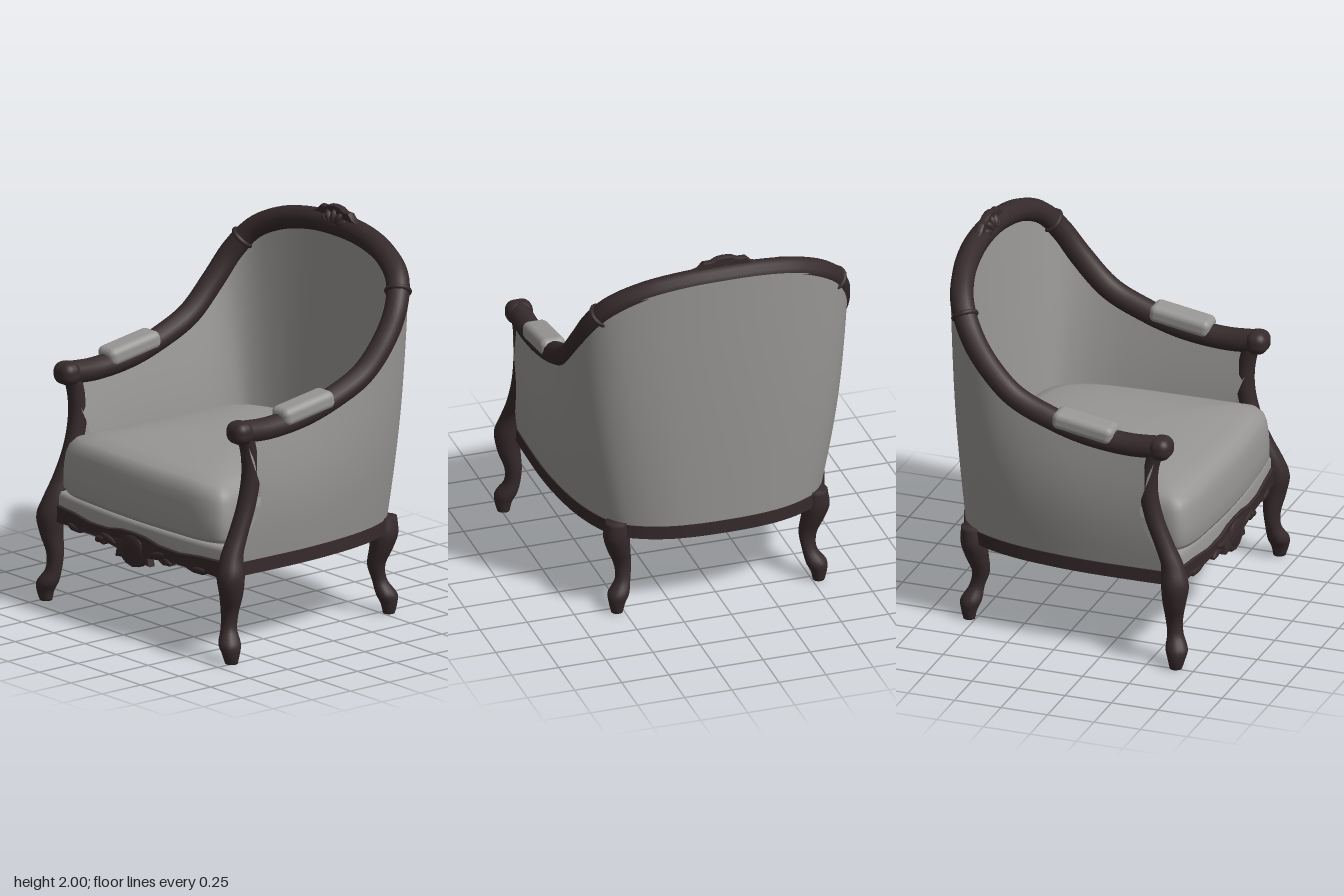
import * as THREE from 'three';
import { toCreasedNormals } from 'three/addons/utils/BufferGeometryUtils.js';
import { RoundedBoxGeometry } from 'three/addons/geometries/RoundedBoxGeometry.js';

const V = (x, y, z) => new THREE.Vector3(x, y, z);

// Surface through rows of points; wrap closes each row into a ring
function loft(rows, wrap = false) {
  const n = rows[0].length, idx = [];
  for (let r = 0; r < rows.length - 1; r++) {
    for (let c = 0; c < (wrap ? n : n - 1); c++) {
      const d = (c + 1) % n, a = r * n, b = a + n;
      idx.push(a + c, b + c, a + d, a + d, b + c, b + d);
    }
  }
  const g = new THREE.BufferGeometry().setFromPoints(rows.flat());
  g.setIndex(idx);
  g.computeVertexNormals();
  return g;
}

// Left half of a path (front to middle of the back), mirrored to the right
function mirroredCurve(half) {
  const left = half.map(p => V(...p));
  const right = half.slice(0, -1).reverse().map(p => V(-p[0], p[1], p[2]));
  return new THREE.CatmullRomCurve3([...left, ...right]);
}

// Point on a curve pushed outwards in plan
function offset(curve, t, d, dy = 0) {
  const p = curve.getPoint(t), k = curve.getTangent(t);
  const l = Math.hypot(k.x, k.z) || 1;
  return V(p.x - k.z / l * d, p.y + dy, p.z + k.x / l * d);
}

// Carved leg from [x, y, z, radius] stations
function legGeometry(stations, steps) {
  const mid = new THREE.CatmullRomCurve3(stations.map(s => V(s[0], s[1], s[2])));
  const rad = new THREE.CatmullRomCurve3(stations.map((s, i) => V(s[3], i, 0)));
  const ring = (t, k) => Array.from({ length: 14 }, (_, j) => {
    const a = j / 14 * Math.PI * 2, p = mid.getPoint(t), r = rad.getPoint(t).x * k;
    return V(p.x + Math.cos(a) * r, Math.max(0, p.y), p.z + Math.sin(a) * r);
  });
  const rows = [ring(0, 0.001)];
  for (let i = 0; i <= steps; i++) rows.push(ring(i / steps, 1));
  rows.push(ring(1, 0.001));
  return loft(rows, true);
}

// Symmetric flat outline from its right half
function mirroredShape(half) {
  const pts = half.map(p => new THREE.Vector2(...p));
  const back = half.slice(1, -1).reverse().map(p => new THREE.Vector2(-p[0], p[1]));
  return new THREE.Shape([...pts, ...back]);
}

export function createModel() {
  const group = new THREE.Group();
  const wood = new THREE.MeshStandardMaterial({ color: 0x362a2c, side: THREE.DoubleSide });
  wood.name = 'dark wood';
  const cloth = new THREE.MeshStandardMaterial({ color: 0x999795, side: THREE.DoubleSide });
  cloth.name = 'grey cloth';
  const add = (name, geo, mat) => {
    const m = new THREE.Mesh(geo, mat);
    m.name = name;
    group.add(m);
    return m;
  };
  const bead = (name, pos, size, rz = 0) => {
    const m = add(name, new THREE.SphereGeometry(1, 16, 10), wood);
    m.position.set(...pos);
    m.scale.set(...size);
    m.rotation.z = rz;
  };

  // Top rail and base outline share the same stations
  const rail = mirroredCurve([
    [0.69, 1.18, 0.55], [0.69, 1.17, 0.38], [0.69, 1.195, 0.15], [0.692, 1.255, -0.05],
    [0.692, 1.345, -0.24], [0.683, 1.505, -0.395], [0.65, 1.645, -0.49], [0.57, 1.76, -0.56],
    [0.41, 1.84, -0.61], [0.21, 1.88, -0.64], [0, 1.89, -0.65]]);
  const base = mirroredCurve([
    [0.68, 0.5, 0.6], [0.685, 0.5, 0.4], [0.685, 0.5, 0.15], [0.67, 0.5, -0.05],
    [0.64, 0.5, -0.24], [0.59, 0.5, -0.4], [0.52, 0.5, -0.52], [0.42, 0.5, -0.585],
    [0.29, 0.5, -0.63], [0.15, 0.5, -0.65], [0, 0.5, -0.655]]);
  const N = 96, ts = Array.from({ length: N + 1 }, (_, i) => i / N);
  const behind = t => Math.sin(Math.PI * t) ** 4; // 0 at the arms, 1 at the back

  add('armAndBackRail', new THREE.TubeGeometry(rail, 128, 0.06, 12), wood);
  const section = [[0.018, 0], [0.018, -0.07], [-0.035, -0.07], [-0.035, 0]];
  add('baseRail', toCreasedNormals(
    loft(ts.map(t => section.map(([d, y]) => offset(base, t, d, y))), true), 0.6), wood);

  // Upholstered shell, outer and inner skins, front edges tucked behind the posts
  const skin = (dTop, yTop, dLow, bulge) => loft(Array.from({ length: 17 }, (_, i) => {
    const v = i / 16, s = Math.sin(Math.PI * v);
    return ts.map(t => {
      const low = offset(base, t, dLow(t) + bulge(t) * s);
      const p = low.lerp(offset(rail, t, dTop(t) + bulge(t) * s, yTop(t)), v);
      p.z -= (0.02 + 0.09 * s * s) * Math.max(0, (p.z - 0.2) / 0.35);
      return p;
    });
  }));
  add('outerUpholstery', skin(t => 0.035 + 0.03 * behind(t), t => -0.035 + 0.045 * behind(t),
    () => 0.012, t => 0.028 - 0.02 * behind(t)), cloth);
  add('innerUpholstery', skin(() => -0.015, () => -0.04,
    t => -0.075 - 0.06 * behind(t), t => -0.02 + 0.02 * behind(t)), cloth);

  // Seat cushion: hollow, rolled over at the front, tucked in at the sides and back
  const half = [[0, 0.705], [0.3, 0.695], [0.55, 0.668], [0.632, 0.62], [0.632, 0.5], [0.622, 0.2],
    [0.608, -0.1], [0.578, -0.3], [0.5, -0.45], [0.33, -0.525], [0, -0.54]];
  const outline = new THREE.CatmullRomCurve3([
    ...half.map(p => V(p[0], 0, p[1])),
    ...half.slice(1, -1).reverse().map(p => V(-p[0], 0, p[1]))], true);
  const plan = outline.getPoints(80).slice(0, 80);
  const layers = [[0.93, 0.585], [0.975, 0.592], [1, 0.62], [1, 0.7], [0.995, 0.77],
    [0.985, 0.82], [0.965, 0.862], [0.92, 0.893], [0.8, 0.917], [0.55, 0.932], [0.3, 0.939], [0.001, 0.94]];
  add('seatCushion', loft(layers.map((_, i) => plan.map(p => {
    const [s, y] = layers[p.z > 0.5 ? i : Math.max(i, 4)];
    const x = p.x * s, droop = y > 0.75 ? 0.025 * (x / 0.63) ** 4 : 0;
    return V(x, y - droop, 0.05 + (p.z - 0.05) * s);
  })), true), cloth);

  // Bowed front of the seat
  const bow = x => 0.64 + 0.045 * (1 - (x / 0.65) ** 2);
  const xs = Array.from({ length: 35 }, (_, i) => -0.68 + i * 0.04);
  add('seatFrontBand', loft([[0.46, 0], [0.56, 0], [0.582, -0.015], [0.585, -0.07]].map(([y, dz]) =>
    xs.map(x => V(x, y, bow(x) + dz)))), cloth);
  const apron = new THREE.ExtrudeGeometry(mirroredShape([
    [0, 0.35], [0.05, 0.36], [0.085, 0.385], [0.13, 0.378], [0.12, 0.42], [0.2, 0.43], [0.24, 0.412],
    [0.29, 0.418], [0.3, 0.44], [0.4, 0.437], [0.45, 0.422], [0.52, 0.42], [0.55, 0.435], [0.66, 0.425],
    [0.66, 0.51], [0.5, 0.507], [0.35, 0.493], [0.2, 0.5], [0.1, 0.52], [0, 0.525]]),
  { depth: 0.03, bevelEnabled: true, bevelSize: 0.005, bevelThickness: 0.006, bevelSegments: 1 });
  const ap = apron.attributes.position;
  for (let i = 0; i < ap.count; i++) ap.setZ(i, ap.getZ(i) - 0.022 + bow(ap.getX(i)));
  add('frontApron', toCreasedNormals(apron, 0.6), wood);
  bead('apronCartouche', [0, 0.44, 0.692], [0.085, 0.075, 0.018]);

  // Crest carving: leafy plate with a fan of ribs
  const crest = new THREE.ExtrudeGeometry(mirroredShape([
    [0, 1.88], [0.06, 1.885], [0.1, 1.9], [0.17, 1.91], [0.19, 1.93], [0.14, 1.945], [0.11, 1.975],
    [0.07, 1.975], [0.04, 1.99], [0, 1.995]]),
  { depth: 0.02, bevelEnabled: true, bevelSize: 0.005, bevelThickness: 0.01, bevelSegments: 1 });
  crest.translate(0, 0, -0.645);
  add('crestCarving', toCreasedNormals(crest, 0.6), wood);
  for (let i = -2; i <= 2; i++) {
    const a = i * 0.55;
    bead('crestRib', [Math.sin(a) * 0.065, 1.895 + Math.cos(a) * 0.04, -0.625],
      [0.022, 0.045, 0.035], -a);
  }

  // Legs and arm fittings on both sides
  const frontLeg = legGeometry([
    [0.738, 0, 0.652, 0.032], [0.738, 0.05, 0.655, 0.045], [0.724, 0.1, 0.652, 0.057], [0.697, 0.17, 0.635, 0.042],
    [0.695, 0.25, 0.628, 0.045], [0.715, 0.35, 0.635, 0.06], [0.718, 0.45, 0.64, 0.071],
    [0.703, 0.55, 0.62, 0.058], [0.695, 0.65, 0.575, 0.051], [0.69, 0.8, 0.515, 0.049],
    [0.69, 0.95, 0.487, 0.048], [0.69, 1.08, 0.5, 0.045], [0.69, 1.17, 0.53, 0.048]], 56);
  const backLeg = legGeometry([
    [0.535, 0, -0.535, 0.03], [0.535, 0.05, -0.535, 0.042], [0.525, 0.1, -0.528, 0.055], [0.495, 0.17, -0.507, 0.039],
    [0.492, 0.25, -0.488, 0.046], [0.515, 0.34, -0.5, 0.06], [0.53, 0.42, -0.512, 0.068],
    [0.53, 0.51, -0.52, 0.056]], 36);
  for (const s of [1, -1]) {
    const side = s > 0 ? 'left' : 'right';
    for (const [name, geo] of [['FrontLegAndPost', frontLeg], ['BackLeg', backLeg]]) {
      add(side + name, geo, wood).scale.x = s;
    }
    const scroll = add(side + 'ArmScroll', new RoundedBoxGeometry(0.138, 0.118, 0.115, 5, 0.05), wood);
    scroll.position.set(s * 0.688, 1.18, 0.556);
    const pad = add(side + 'ArmPad', new RoundedBoxGeometry(0.134, 0.095, 0.33, 4, 0.035), cloth);
    pad.position.set(s * 0.692, 1.24, 0.148);
    pad.rotation.x = 0.16;

    // Collar where the arm rail meets the back rail
    const t = s > 0 ? 0.325 : 0.675;
    const collar = add(side + 'RailCollar', new THREE.TorusGeometry(0.058, 0.013, 8, 20), wood);
    collar.position.copy(rail.getPoint(t));
    collar.quaternion.setFromUnitVectors(V(0, 0, 1), rail.getTangent(t));

    // Apron leaf scrolls
    for (const [x, y, w, a] of [[0.19, 0.45, 0.06, 0.25], [0.27, 0.43, 0.035, -0.3], [0.49, 0.435, 0.055, 0.15]]) {
      bead(side + 'ApronLeaf', [s * x, y, bow(x) + 0.01], [w, 0.017, 0.012], s * a);
    }
  }
  return group;
}
